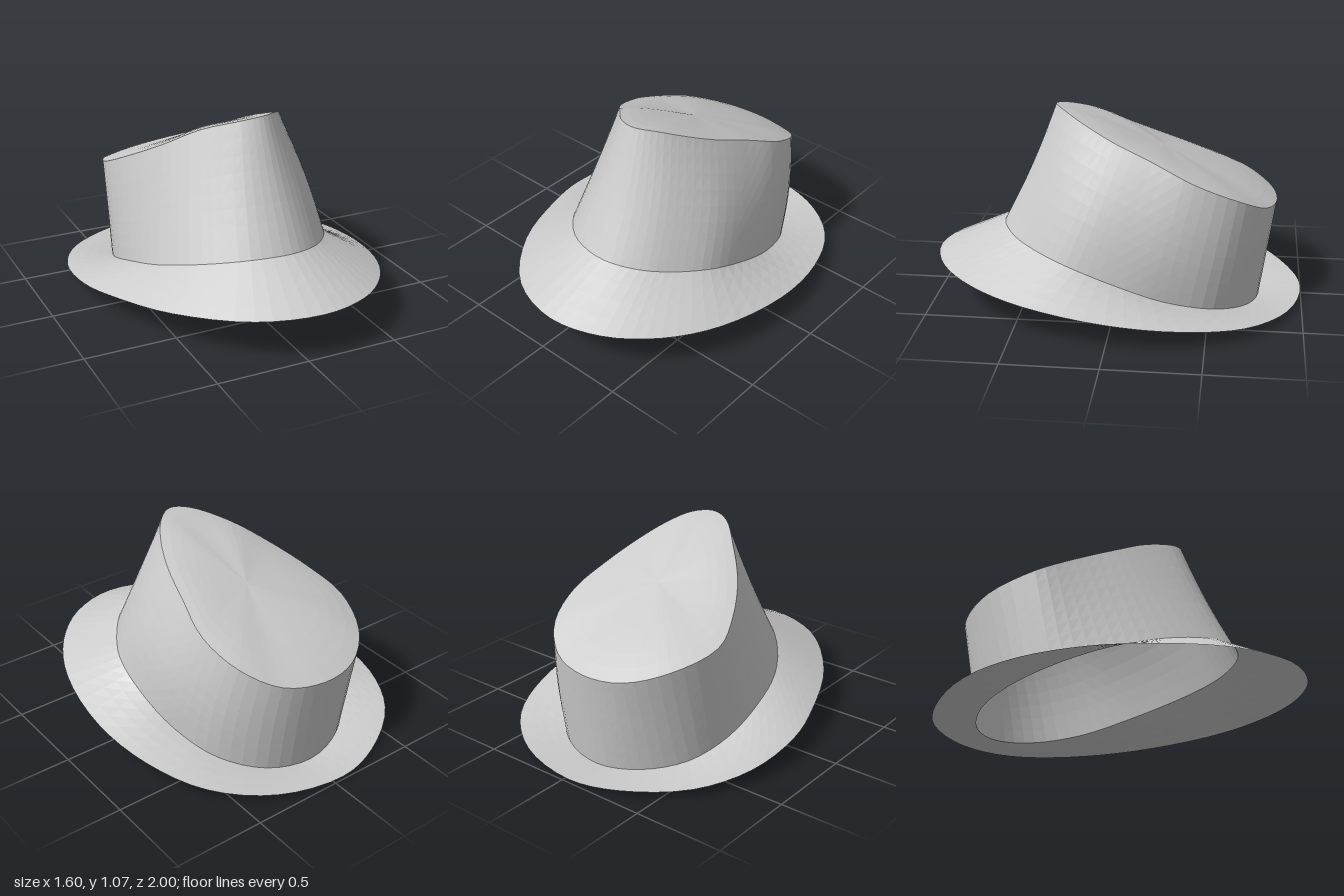
import * as THREE from 'three';

const SEGMENTS = 64;

// Each loop runs from the front, round the left (+x), back and right sides.
const brimEdge = [
  [0.08, 1], [0.36, 0.92], [0.58, 0.72], [0.73, 0.43], [0.8, 0], [0.75, -0.38], [0.6, -0.7], [0.32, -0.92],
  [-0.05, -1], [-0.32, -0.93], [-0.62, -0.72], [-0.77, -0.43], [-0.79, -0.08], [-0.72, 0.2], [-0.55, 0.58], [-0.25, 0.9],
].map(([x, z]) => [x, 0.14 + 0.11 * z + 0.01 * x, z]);

const crownBase = [
  [0.1, 0.42, 0.63], [0.28, 0.4, 0.55], [0.4, 0.37, 0.42], [0.5, 0.33, 0.24],
  [0.53, 0.25, 0], [0.5, 0.15, -0.27], [0.41, 0.08, -0.53], [0.22, 0.03, -0.71],
  [-0.03, 0.01, -0.77], [-0.27, 0.03, -0.7], [-0.45, 0.07, -0.53], [-0.53, 0.14, -0.3],
  [-0.53, 0.22, -0.05], [-0.47, 0.29, 0.2], [-0.32, 0.36, 0.43], [-0.12, 0.41, 0.59],
];

const crownRim = [
  [0.07, 1.08, 0.34], [0.17, 1.07, 0.28], [0.26, 1.02, 0.16], [0.33, 0.95, 0],
  [0.38, 0.87, -0.2], [0.42, 0.77, -0.42], [0.36, 0.67, -0.64], [0.2, 0.58, -0.79],
  [-0.03, 0.55, -0.85], [-0.25, 0.56, -0.81], [-0.43, 0.61, -0.66], [-0.53, 0.68, -0.4],
  [-0.47, 0.77, -0.2], [-0.35, 0.88, 0], [-0.2, 0.99, 0.16], [-0.04, 1.06, 0.31],
];

// Smooth closed loop through the given points
function sampleLoop(points) {
  const curve = new THREE.CatmullRomCurve3(points.map((p) => new THREE.Vector3(...p)), true, 'centripetal');
  return Array.from({ length: SEGMENTS }, (_, i) => curve.getPoint(i / SEGMENTS));
}

// Surface between two loops; shape(point, t, i) may adjust each blended point
function loft(name, lower, upper, rows, shape = () => {}) {
  const positions = [];
  const index = [];
  for (let r = 0; r <= rows; r++) {
    const t = r / rows;
    for (let i = 0; i < SEGMENTS; i++) {
      const p = lower[i].clone().lerp(upper[i], t);
      shape(p, t, i);
      positions.push(p.x, p.y, p.z);
      if (r === rows) continue;
      const a = r * SEGMENTS + i;
      const b = r * SEGMENTS + ((i + 1) % SEGMENTS);
      index.push(a, b, b + SEGMENTS, a, b + SEGMENTS, a + SEGMENTS);
    }
  }
  const geometry = new THREE.BufferGeometry();
  geometry.setAttribute('position', new THREE.Float32BufferAttribute(positions, 3));
  geometry.setIndex(index);
  geometry.computeVertexNormals();
  const material = new THREE.MeshStandardMaterial({ color: 0xcccccc, flatShading: true, side: THREE.DoubleSide });
  const mesh = new THREE.Mesh(geometry, material);
  mesh.name = name;
  return mesh;
}

export function createModel() {
  const hat = new THREE.Group();
  hat.name = 'hat';
  const edge = sampleLoop(brimEdge);
  const base = sampleLoop(crownBase);
  const rim = sampleLoop(crownRim);

  // Thin sloping brim
  hat.add(loft('brim', edge, base, 4));

  // Open crown wall, fuller on the left and slightly hollow at the front
  hat.add(loft('crownWall', base, rim, 8, (p, t, i) => {
    const angle = (i / SEGMENTS) * Math.PI * 2;
    const swell = Math.sin(Math.PI * t);
    p.x += 0.03 * swell * Math.max(0, Math.sin(angle));
    p.z -= 0.015 * swell * Math.max(0, Math.cos(angle));
  }));

  // Sloping top panel with a gentle dome
  const centre = rim.reduce((sum, p) => sum.add(p), new THREE.Vector3()).divideScalar(SEGMENTS);
  hat.add(loft('crownTop', rim, rim.map(() => centre), 8, (p, t) => {
    p.y += 0.03 * (1 - (1 - t) ** 4);
  }));
  return hat;
}
